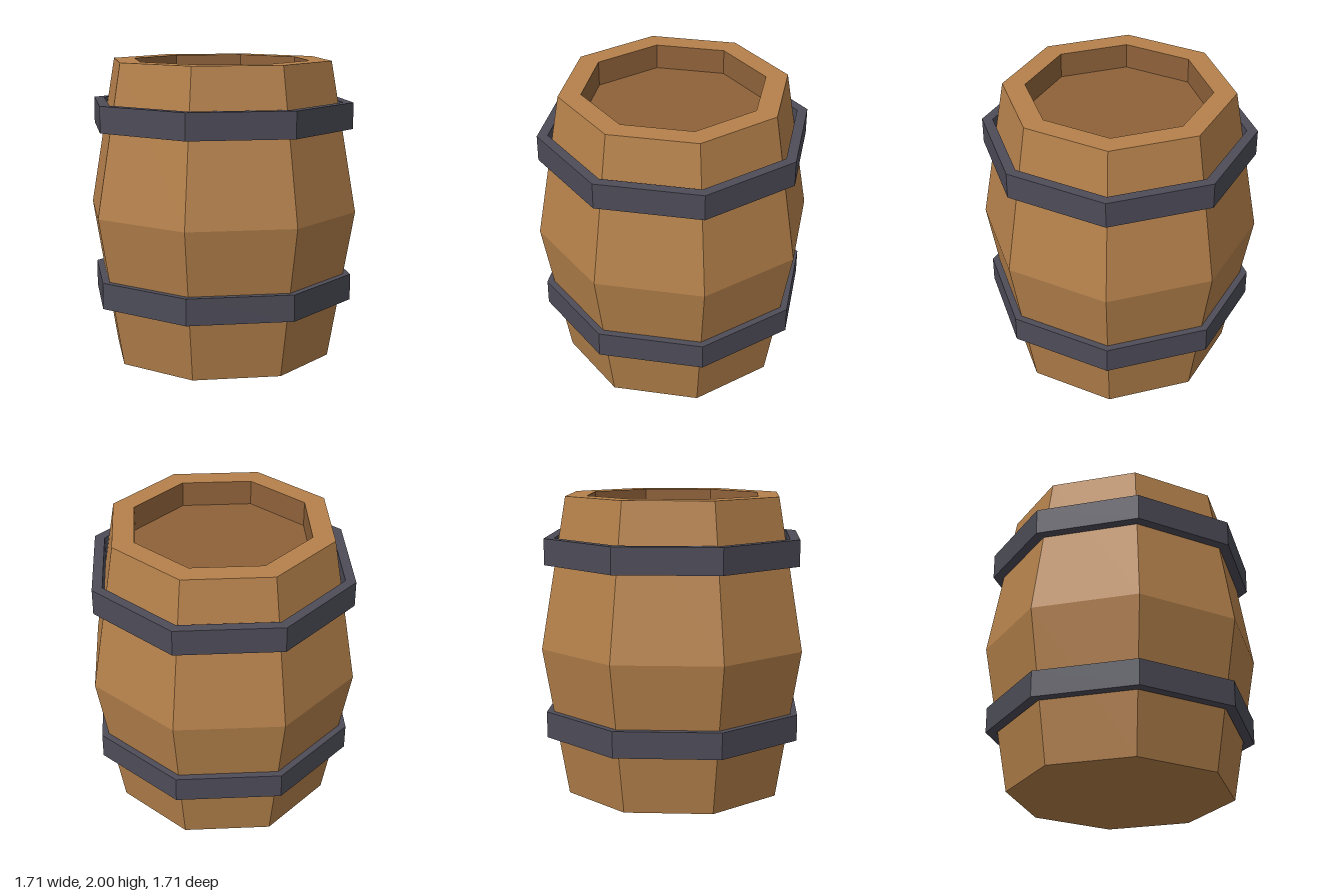
import * as THREE from 'three';

const SIDES = 8;
const wood = new THREE.MeshStandardMaterial({ color: 0xb5814b });
wood.name = 'wood';
const darkWood = new THREE.MeshStandardMaterial({ color: 0x8f623a });
darkWood.name = 'darkWood';
const iron = new THREE.MeshStandardMaterial({ color: 0x4d4c58 });
iron.name = 'iron';

// Faceted octagonal turning; profile is [distance from axis to flat side, y]
function octagon(name, profile, material) {
  const points = profile.map(([a, y]) => new THREE.Vector2(a / Math.cos(Math.PI / SIDES), y));
  const geometry = new THREE.LatheGeometry(points, SIDES, Math.PI / SIDES).toNonIndexed();
  geometry.computeVertexNormals();
  const mesh = new THREE.Mesh(geometry, material);
  mesh.name = name;
  return mesh;
}

export function createModel() {
  const barrel = new THREE.Group();
  barrel.name = 'barrel';

  // Base, bulging staves and flat rim
  barrel.add(octagon('staves', [[0, 0], [0.693, 0], [0.853, 1], [0.693, 2], [0.557, 2]], wood));

  // Recessed lid with its upright walls
  barrel.add(octagon('lid', [[0.557, 2], [0.557, 1.83], [0, 1.83]], darkWood));

  // Two iron hoops, standing slightly clear of the staves
  const hoops = [['lowerHoop', 0.4], ['upperHoop', 1.556]];
  for (const [name, y] of hoops) {
    const top = y + 0.174;
    barrel.add(octagon(name, [[0.765, y], [0.83, y], [0.83, top], [0.765, top], [0.765, y]], iron));
  }
  return barrel;
}
